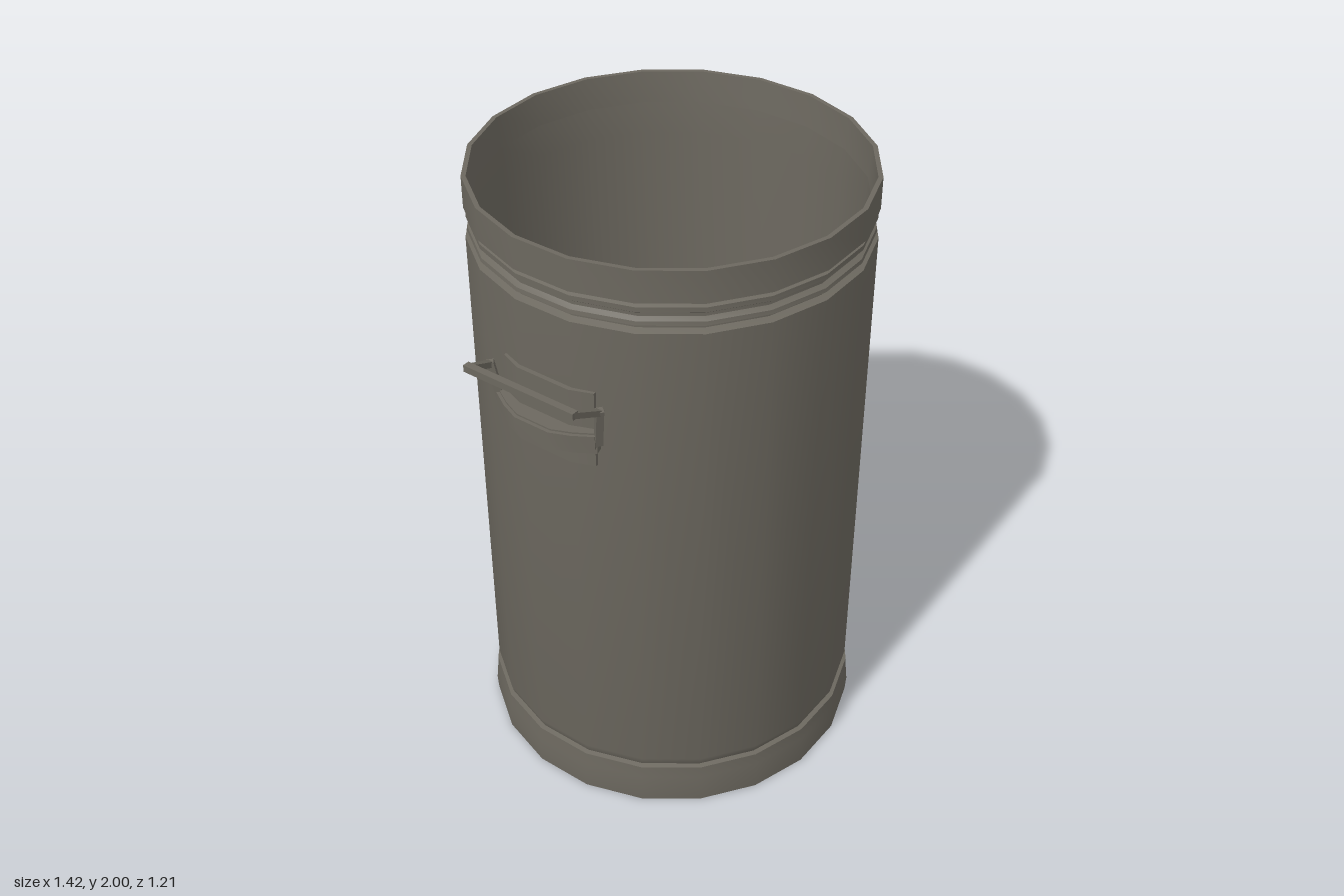
import * as THREE from 'three';
import { toCreasedNormals } from 'three/addons/utils/BufferGeometryUtils.js';

const metal = new THREE.MeshStandardMaterial({ color: 0x6c685f });
metal.name = 'weathered metal';

const SIDES = 20;
const HALF_STEP = Math.PI / SIDES;

function mesh(name, geometry, crease = 0.6) {
  const m = new THREE.Mesh(toCreasedNormals(geometry, crease), metal);
  m.name = name;
  return m;
}

// Turned part from [radius, height] pairs
function turned(name, profile) {
  const points = profile.map(([r, y]) => new THREE.Vector2(r, y));
  return mesh(name, new THREE.LatheGeometry(points, SIDES, HALF_STEP));
}

// Upright slab whose outline is given as [x, z] pairs
function slab(name, outline, y, height) {
  const shape = new THREE.Shape(outline.map(([x, z]) => new THREE.Vector2(x, -z)));
  const geo = new THREE.ExtrudeGeometry(shape, { depth: height, bevelEnabled: false });
  geo.rotateX(-Math.PI / 2);
  geo.translate(0, y, 0);
  return mesh(name, geo);
}

// Square rod between two points
function rod(a, b, size) {
  const from = new THREE.Vector3(...a), to = new THREE.Vector3(...b);
  const m = mesh('bailRod', new THREE.BoxGeometry(size, size, from.distanceTo(to) + size * 0.8));
  m.position.copy(from).lerp(to, 0.5);
  m.lookAt(to);
  return m;
}

function createHandle(name) {
  const handle = new THREE.Group();
  handle.name = name;

  // Mounting plate bent around the wall
  handle.add(slab('mountingPlate', [
    [0.577, 0.16], [0.604, 0.09], [0.604, -0.09], [0.577, -0.16],
    [0.55, -0.16], [0.575, -0.09], [0.575, 0.09], [0.55, 0.16],
  ], 1.34, 0.25));

  // Bulged sleeve, widest at mid height
  const sleeve = [
    [0.59, 0.178], [0.625, 0.12], [0.65, 0.06], [0.65, -0.06],
    [0.625, -0.12], [0.59, -0.178], [0.565, -0.17], [0.565, 0.17],
  ];
  handle.add(slab('sleeve', sleeve, 1.4, 0.07));
  handle.add(slab('sleeveRidge', sleeve.map(([x, z]) => [x + 0.011, z]), 1.42, 0.045));

  // Folding bail: two bent sides and a grip bar
  for (const s of [1, -1]) {
    const pivot = [0.585, 1.44, 0.178 * s];
    const bend = [0.598, 1.555, 0.195 * s];
    const corner = [0.698, 1.602, 0.185 * s];
    handle.add(rod(pivot, bend, 0.022), rod(bend, corner, 0.018));
  }
  handle.add(rod([0.698, 1.602, -0.185], [0.698, 1.602, 0.185], 0.022));
  return handle;
}

export function createModel() {
  const model = new THREE.Group();
  model.name = 'barrel';

  // Flared foot ring and underside
  model.add(turned('footRing', [
    [0, 0], [0.608, 0], [0.611, 0.05], [0.606, 0.1], [0.603, 0.142], [0.585, 0.145],
  ]));

  // Outer wall with a small fillet above the foot
  model.add(turned('outerWall', [
    [0.585, 0.14], [0.592, 0.155], [0.597, 0.175], [0.597, 1.805], [0.575, 1.812],
  ]));

  // Grooved neck
  model.add(turned('neckGrooves', [
    [0.575, 1.81], [0.575, 1.82], [0.592, 1.828], [0.59, 1.84], [0.575, 1.848],
    [0.575, 1.858], [0.592, 1.87], [0.592, 1.885], [0.578, 1.89], [0.597, 1.9],
  ]));

  // Top band, lip, inner wall and floor
  model.add(turned('topBand', [[0.597, 1.9], [0.597, 2], [0.583, 2], [0.575, 1.9]]));
  model.add(turned('innerWall', [[0.575, 1.9], [0.57, 1.8], [0.57, 0.04], [0, 0.04]]));

  // Side handles
  const left = createHandle('leftHandle');
  const right = createHandle('rightHandle');
  right.rotation.y = Math.PI;
  model.add(left, right);

  return model;
}
